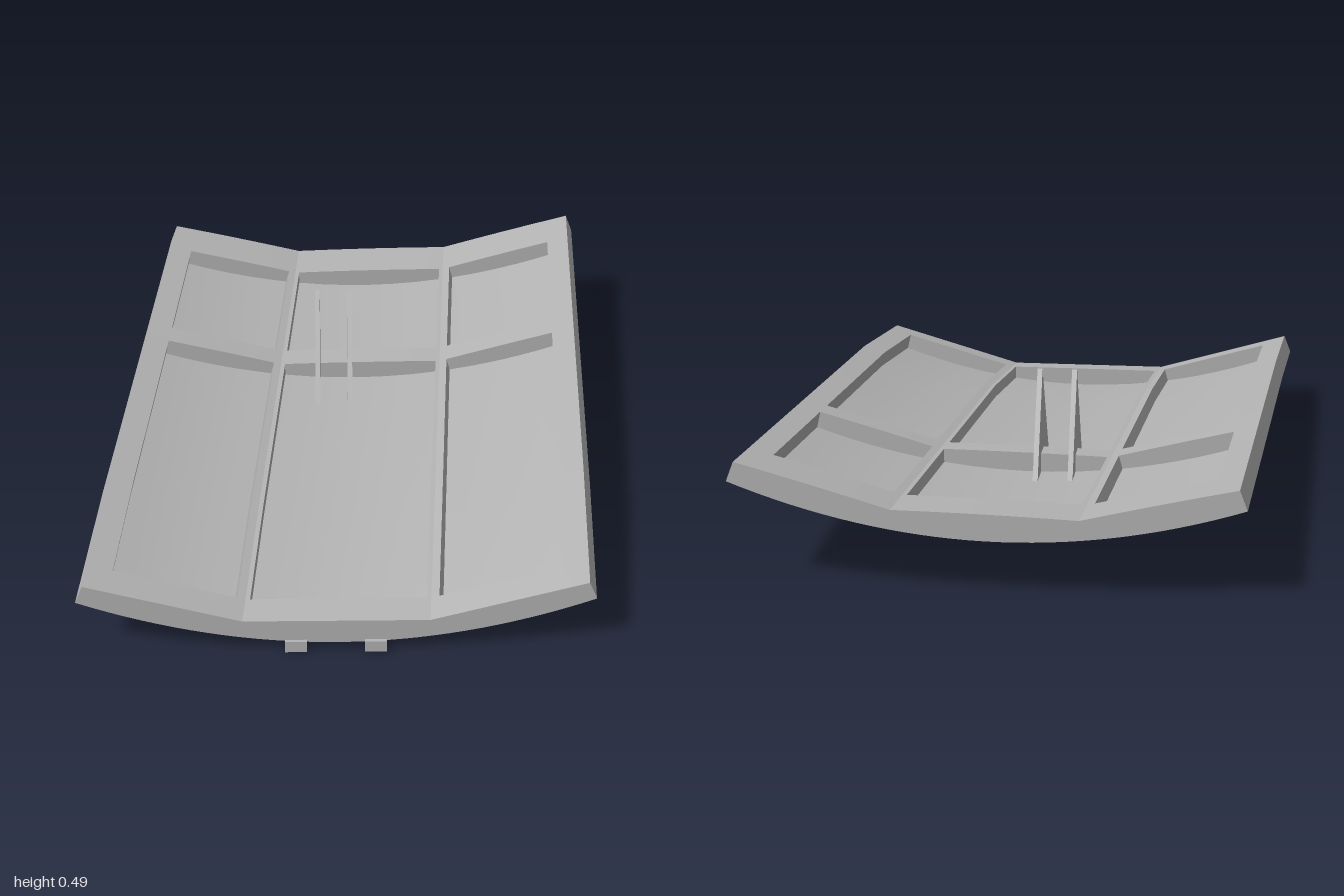
import * as THREE from 'three';
import { toCreasedNormals } from 'three/addons/utils/BufferGeometryUtils.js';

const HALF = 0.738, RIB = 0.277;         // half width of the top face, line of its two folds
const FRONT = 0.99, BEND = 0.5, BACK = -1;

// Upward sweep towards the back, a little weaker on the right side
function lift(u, z) {
  const rise = z > BEND ? 0.06 * (FRONT - z) / (FRONT - BEND)
    : 0.06 + 0.088 * (BEND - z) / (BEND - BACK);
  const s = u / 0.762;
  return rise * (1 + 0.118 * s - 0.138 * s * s);
}
// The panel is skewed sideways and narrows slightly towards the back
const place = (u, y, z) => [0.01 - 0.072 * z + u * (1 + 0.011 * z), y + lift(u, z), z];
const bowl = (u) => 0.03 + 0.16 * (u / 0.762) ** 2;

// The three layers: folded top, recessed floor, curved underside
const top = (u, z) => place(u, 0.113 + Math.max(0, Math.abs(u) - RIB) * 0.297, z);
const floor = (u, z) => {
  const v = Math.abs(u) > 0.28 ? u + Math.sign(u) * 0.012 : u;
  return place(v, bowl(v) + 0.02, z);
};
const under = (u, z) => {
  const v = u * 0.762 / HALF;
  return place(v, bowl(v), z);
};

const span = (a, b, n) => Array.from({ length: n + 1 }, (_, i) => a + (b - a) * i / n);

function quad(out, a, b, c, d) {
  out.push(...a, ...b, ...c, ...a, ...c, ...d);
}
// Sheet over a grid of u and z, facing up (or down when flipped)
function sheet(out, layer, us, zs, flip = false) {
  for (let i = 0; i < us.length - 1; i++) {
    for (let j = 0; j < zs.length - 1; j++) {
      const p = [layer(us[i], zs[j]), layer(us[i], zs[j + 1]),
        layer(us[i + 1], zs[j + 1]), layer(us[i + 1], zs[j])];
      if (flip) p.reverse();
      quad(out, ...p);
    }
  }
}
// Wall around a rectangle between two layers; reversed zs turn it outwards
function wall(out, upper, lower, us, zs) {
  const uEnd = us[us.length - 1], zEnd = zs[zs.length - 1];
  const path = [
    ...us.map((u) => [u, zs[0]]),
    ...zs.slice(1).map((z) => [uEnd, z]),
    ...us.slice(0, -1).reverse().map((u) => [u, zEnd]),
    ...zs.slice(0, -1).reverse().map((z) => [us[0], z]),
  ];
  for (let i = 0; i < path.length - 1; i++) {
    quad(out, upper(...path[i]), lower(...path[i]), lower(...path[i + 1]), upper(...path[i + 1]));
  }
}

export function createModel() {
  const model = new THREE.Group();
  model.name = 'curvedPanel';
  const grey = new THREE.MeshStandardMaterial({ color: 0xb4b4b4 });
  grey.name = 'grey';

  const add = (name, geometry, parent = model) => {
    const mesh = new THREE.Mesh(geometry, grey);
    mesh.name = name;
    parent.add(mesh);
    return mesh;
  };
  const addQuads = (name, positions) => {
    const geometry = new THREE.BufferGeometry();
    geometry.setAttribute('position', new THREE.Float32BufferAttribute(positions, 3));
    add(name, toCreasedNormals(geometry, 0.15));
  };

  // Frame and ribs on top, with six recessed pockets
  const uBreaks = [-HALF, -0.664, -0.301, -RIB, -0.263, 0.263, RIB, 0.301, 0.664, HALF];
  const zBreaks = [BACK, -0.85, -0.35, -0.27, BEND, 0.9, FRONT];
  const frame = [], walls = [], floors = [];
  for (let i = 0; i < uBreaks.length - 1; i++) {
    const us = span(uBreaks[i], uBreaks[i + 1], 6);
    const pocketColumn = [1, 4, 7].includes(i);
    for (let j = 0; j < zBreaks.length - 1; j++) {
      if (pocketColumn && [1, 3, 4].includes(j)) continue;
      sheet(frame, top, us, [zBreaks[j], zBreaks[j + 1]]);
    }
    if (!pocketColumn) continue;
    for (const zs of [[-0.85, -0.35], [-0.27, BEND, 0.9]]) {
      sheet(floors, floor, us, zs);
      wall(walls, top, floor, us, zs);
    }
  }
  addQuads('frameAndRibs', frame);
  addQuads('pocketWalls', walls);
  addQuads('pocketFloors', floors);

  // Outer edge and smooth underside
  const us = [...span(-HALF, -RIB, 10), ...span(-RIB, RIB, 12).slice(1), ...span(RIB, HALF, 10).slice(1)];
  const rim = [], skin = [];
  wall(rim, top, under, us, [FRONT, BEND, BACK]);
  sheet(skin, under, us, [BACK, BEND, FRONT], true);
  addQuads('outerEdge', rim);
  addQuads('underside', skin);

  // Pair of upright triangular fins
  const outline = new THREE.Shape([
    new THREE.Vector2(0.105, 0.15),
    new THREE.Vector2(0.46, 0.163),
    new THREE.Vector2(0.303, 0.49),
  ]);
  const finGeometry = new THREE.ExtrudeGeometry(outline, { depth: 0.016, bevelEnabled: false });
  finGeometry.rotateY(Math.PI / 2);
  for (const x of [-0.126, -0.016]) add('fin', finGeometry).position.x = x;

  // Two small tabs under the front edge
  for (const x of [-0.183, 0.057]) {
    add('frontTab', new THREE.BoxGeometry(0.066, 0.04, 0.015)).position.set(x, 0.02, 0.9925);
  }
  return model;
}
